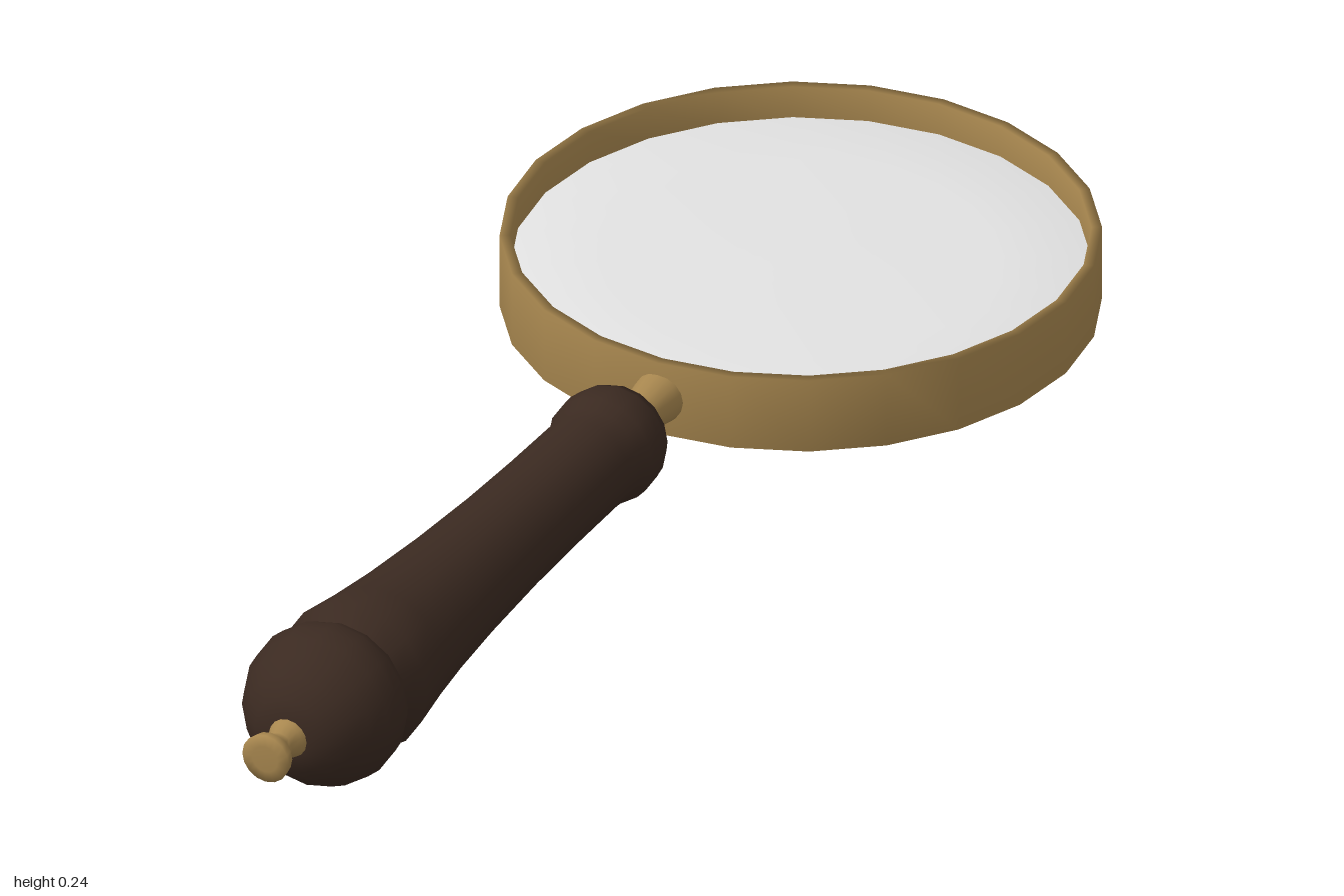
import * as THREE from 'three';

const AXIS_Y = 0.12;      // height of the handle axis
const RING_Z = -0.578;    // centre of the lens frame

function material(name, color) {
  const m = new THREE.MeshStandardMaterial({ color });
  m.name = name;
  return m;
}

// Smooth solid of revolution from [radius, height] pairs, running from low to high
function turned(profile, sides) {
  return new THREE.LatheGeometry(profile.map(([r, h]) => new THREE.Vector2(r, h)), sides);
}

export function createModel() {
  const group = new THREE.Group();
  group.name = 'magnifyingGlass';
  const brass = material('brass', 0xa8874f);
  const wood = material('darkWood', 0x3b2a21);
  const glass = material('paleGlass', 0xe2e2e2);

  function add(name, geometry, mat, z = 0) {
    const mesh = new THREE.Mesh(geometry, mat);
    mesh.name = name;
    mesh.position.set(0, AXIS_Y, z);
    group.add(mesh);
  }
  // Parts turned around the handle axis; heights become z
  const addAlongHandle = (name, profile, mat) =>
    add(name, turned(profile, 16).rotateX(Math.PI / 2), mat);

  // Lens frame: a thin hoop, its seam hidden behind the lens edge
  add('lensFrame', turned([
    [0.407, 0], [0.407, -0.057], [0.422, -0.057], [0.422, 0.057], [0.407, 0.057], [0.407, 0],
  ], 24), brass, RING_Z);

  // Shallow lens, bulging slightly on both faces
  add('lens', turned([
    [0, -0.018], [0.14, -0.017], [0.28, -0.013], [0.408, -0.008],
    [0.408, 0.008], [0.28, 0.013], [0.14, 0.017], [0, 0.018],
  ].filter(([r, h]) => r < 0.4 || h !== 0), 24), glass, RING_Z);

  // Waisted neck between frame and handle
  addAlongHandle('neck', [
    [0.039, -0.175], [0.037, -0.15], [0.03, -0.11], [0.029, -0.085],
    [0.034, -0.07], [0.05, -0.06], [0.05, -0.05],
  ], brass);

  // Flared grip with a rounded collar, running through a groove into the bulbous pommel
  addAlongHandle('handle', [
    [0, -0.056], [0.07, -0.056], [0.08, -0.035], [0.084, -0.01], [0.083, 0.012],
    [0.075, 0.03], [0.073, 0.06], [0.074, 0.18], [0.077, 0.3], [0.084, 0.44],
    [0.094, 0.57], [0.104, 0.66], [0.115, 0.735], [0.088, 0.757],
    [0.106, 0.775], [0.116, 0.795], [0.12, 0.82], [0.116, 0.847],
    [0.103, 0.877], [0.083, 0.903], [0.058, 0.924], [0.03, 0.932], [0, 0.933],
  ], wood);

  // Small brass end button
  addAlongHandle('endButton', [
    [0.032, 0.925], [0.027, 0.94], [0.02, 0.956], [0.023, 0.968], [0.034, 0.982],
    [0.037, 0.998], [0.02, 1], [0, 1],
  ], brass);

  return group;
}
